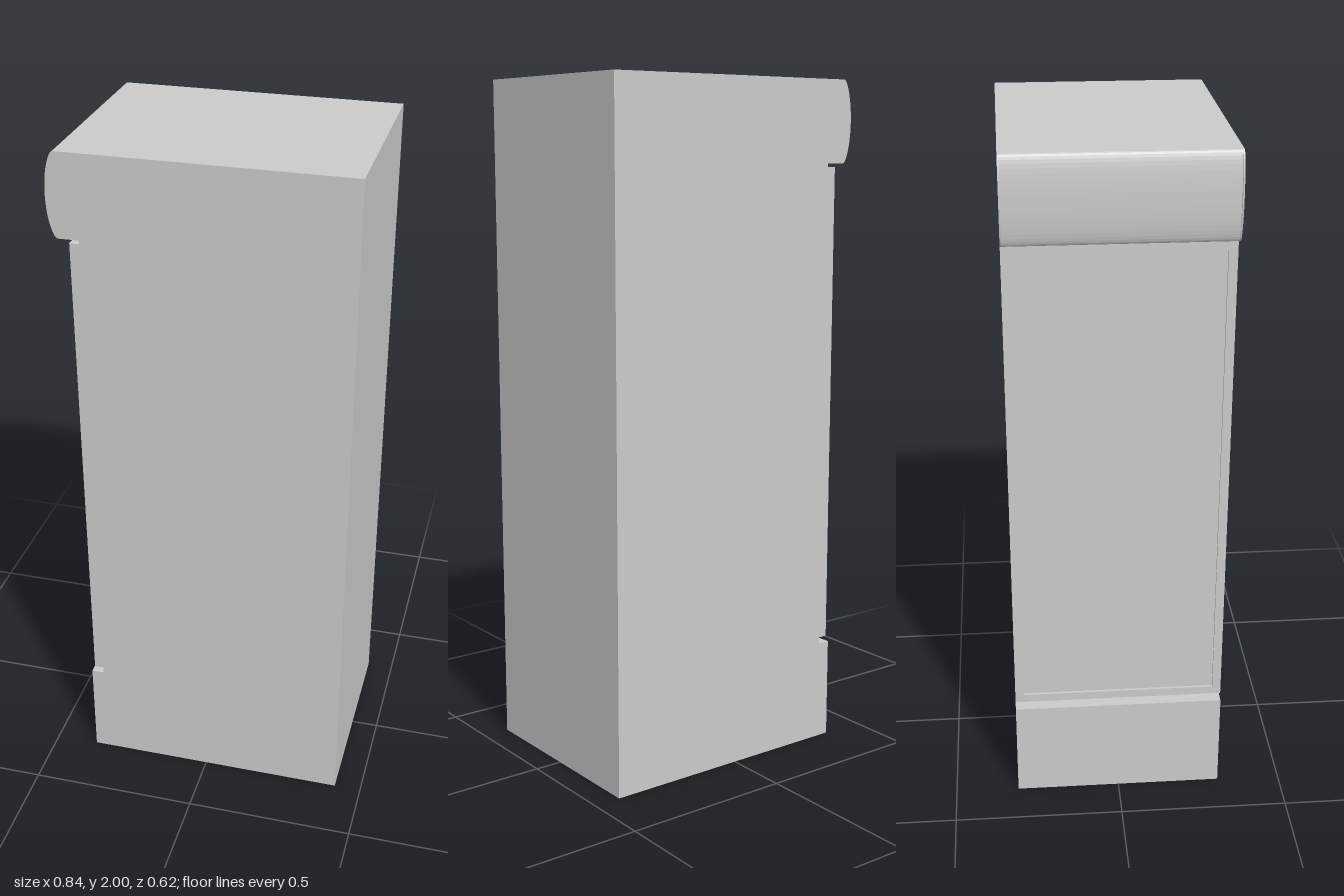
import * as THREE from 'three';

const HALF = 0.31;      // half depth of the cabinet along z
const FRONT = -0.333;   // plane of the carcass behind the door

export function createModel() {
  const group = new THREE.Group();
  const material = new THREE.MeshStandardMaterial({ color: 0xcccccc });

  const add = (name, geometry) => {
    const mesh = new THREE.Mesh(geometry, material);
    mesh.name = name;
    group.add(mesh);
    return mesh;
  };
  const box = (name, x0, x1, y0, y1, z0, z1) =>
    add(name, new THREE.BoxGeometry(x1 - x0, y1 - y0, z1 - z0))
      .position.set((x0 + x1) / 2, (y0 + y1) / 2, (z0 + z1) / 2);

  // Header profile: bulging front with small rounded corners
  const headerShape = (bulge) => {
    const s = new THREE.Shape();
    s.moveTo(FRONT, 1.76);
    s.lineTo(-0.392, 1.76);
    s.bezierCurveTo(-0.403, 1.762, bulge, 1.81, bulge, 1.88);
    s.bezierCurveTo(bulge, 1.95, -0.403, 1.998, -0.392, 2);
    s.lineTo(FRONT, 2);
    return s;
  };
  const header = (name, bulge, z0, z1) =>
    add(name, new THREE.ExtrudeGeometry(headerShape(bulge), {
      depth: z1 - z0, bevelEnabled: false, curveSegments: 10,
    })).position.z = z0;

  // Carcass and projecting plinth
  box('carcass', FRONT, 0.42, 0, 2, -HALF, HALF);
  box('plinth', -0.37, FRONT, 0, 0.3, -HALF, HALF);

  // Curved header between two thin end plates
  const plate = 0.004;
  header('header', -0.41, -HALF + plate, HALF - plate);
  header('leftHeaderPlate', -0.42, HALF - plate, HALF);
  header('rightHeaderPlate', -0.42, -HALF, -HALF + plate);

  // Door: a narrow raised frame around a slightly recessed panel
  const y0 = 0.32, y1 = 1.75, rim = 0.025;
  box('doorPanel', -0.352, FRONT, y0 + rim, y1 - rim, -HALF + rim, HALF - rim);
  for (const [name, side] of [['leftDoorStile', 1], ['rightDoorStile', -1]]) {
    const a = side * HALF, b = side * (HALF - rim);
    box(name, -0.36, FRONT, y0, y1, Math.min(a, b), Math.max(a, b));
  }
  box('topDoorRail', -0.36, FRONT, y1 - rim, y1, -HALF + rim, HALF - rim);
  box('bottomDoorRail', -0.36, FRONT, y0, y0 + rim, -HALF + rim, HALF - rim);

  return group;
}
